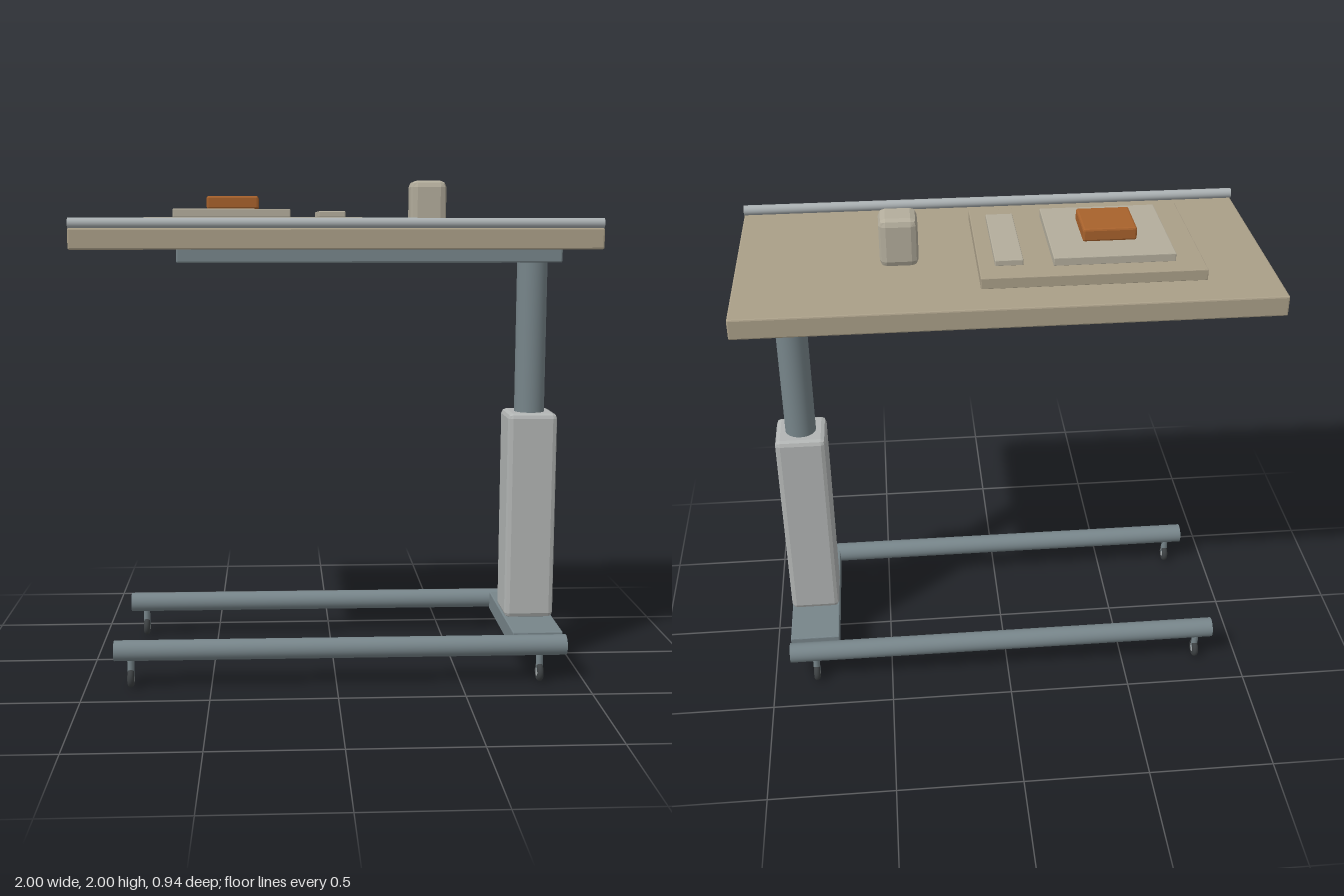
import * as THREE from 'three';
import { RoundedBoxGeometry } from 'three/addons/geometries/RoundedBoxGeometry.js';

const mat = (color, flatShading = false) => new THREE.MeshStandardMaterial({ color, flatShading });

export function createModel() {
  const model = new THREE.Group();
  model.name = 'overbedTable';

  const wood = mat(0xaa9f88, true);
  const cream = mat(0xb3ad9c, true);
  const steel = mat(0x77858a);
  const steelFlat = mat(0x77858a, true);
  const silver = mat(0xaab0b2);
  const sleeveGrey = mat(0xb2b5b4, true);
  const orange = mat(0xa8622c, true);
  const rubber = mat(0x3c4042);

  const add = (name, geometry, material, x, y, z, parent = model) => {
    const mesh = new THREE.Mesh(geometry, material);
    mesh.name = name;
    mesh.position.set(x, y, z);
    parent.add(mesh);
    return mesh;
  };
  // Box with chamfered edges, given by its limits on each axis
  const block = (name, material, [x0, x1], [y0, y1], [z0, z1], bevel) =>
    add(name, new RoundedBoxGeometry(x1 - x0, y1 - y0, z1 - z0, 1, bevel), material,
      (x0 + x1) / 2, (y0 + y1) / 2, (z0 + z1) / 2);
  // Round bar along x
  const bar = (name, material, radius, x0, x1, y, z, parent) => {
    const geometry = new THREE.CylinderGeometry(radius, radius, x1 - x0, 32).rotateZ(Math.PI / 2);
    return add(name, geometry, material, (x0 + x1) / 2, y, z, parent);
  };

  // Table top with its front edge rail
  block('tableTop', wood, [-1, 1], [1.733, 1.812], [-0.472, 0.472], 0.006);
  bar('edgeRail', silver, 0.02, -1, 1, 1.83, 0.448);

  // Things on the table
  block('tray', wood, [-0.735, 0.1], [1.81, 1.854], [-0.312, 0.312], 0.003);
  block('plate', cream, [-0.63, -0.175], [1.852, 1.885], [-0.23, 0.23], 0.003);
  block('food', orange, [-0.505, -0.3], [1.885, 1.936], [-0.102, 0.102], 0.008);
  block('napkin', cream, [-0.065, 0.04], [1.852, 1.876], [-0.212, 0.212], 0.003);
  block('cup', cream, [0.315, 0.46], [1.81, 2], [-0.107, 0.038], 0.026);

  // Support beam and telescopic column
  block('supportBeam', steelFlat, [-0.63, 0.924], [1.672, 1.735], [-0.102, 0.102], 0.007);
  add('innerColumn', new THREE.CylinderGeometry(0.062, 0.062, 0.66, 40), steel, 0.82, 1.35, 0);
  block('columnSleeve', sleeveGrey, [0.718, 0.922], [0.19, 1.055], [-0.102, 0.102], 0.02);

  // Base: cross plate, two legs, four castors
  block('crossPlate', steelFlat, [0.718, 0.922], [0.112, 0.19], [-0.296, 0.296], 0.004);
  for (const side of [1, -1]) {
    const z = side * 0.338;
    bar(side > 0 ? 'frontLeg' : 'backLeg', steel, 0.041, -0.885, 0.925, 0.151, z);
    for (const x of [-0.82, 0.82]) {
      const castor = new THREE.Group();
      castor.name = 'castor';
      castor.position.set(x, 0, z);
      add('stem', new THREE.CylinderGeometry(0.014, 0.014, 0.08, 16), steel, 0, 0.085, 0, castor);
      const tyre = new THREE.TorusGeometry(0.026, 0.013, 12, 28).rotateY(Math.PI / 2);
      add('tyre', tyre, rubber, 0, 0.039, 0, castor);
      bar('hub', silver, 0.017, -0.012, 0.012, 0.039, 0, castor);
      model.add(castor);
    }
  }
  return model;
}
